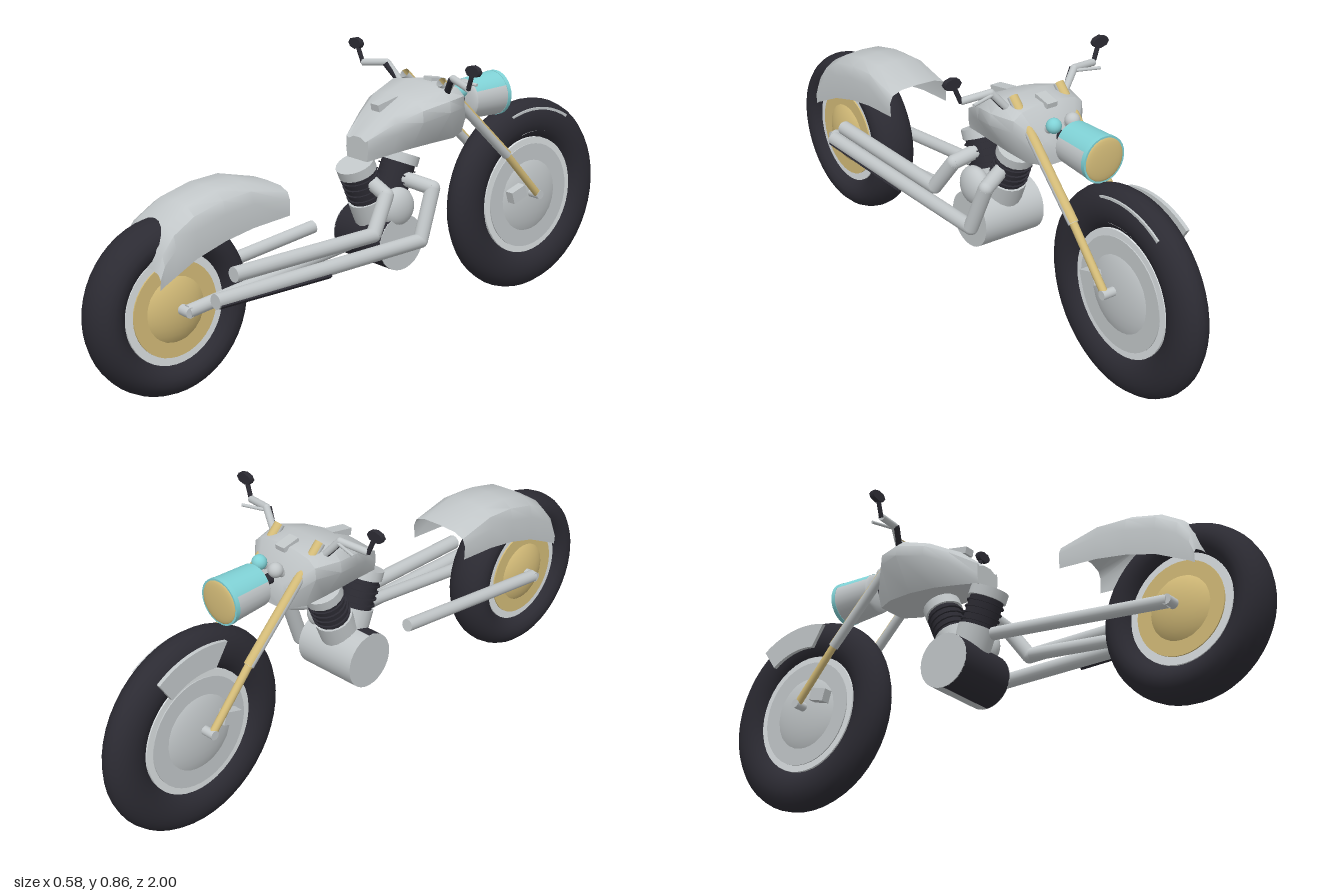
import * as THREE from 'three';
import { toCreasedNormals } from 'three/addons/utils/BufferGeometryUtils.js';

export function createModel() {
  const model = new THREE.Group();
  const material = (name, color) => {
    const m = new THREE.MeshStandardMaterial({ color, side: THREE.DoubleSide });
    m.name = name;
    return m;
  };
  const silver = material('silver', 0xc2c7c9);
  const rimSilver = material('rimSilver', 0xdbe0e2);
  const black = material('black', 0x2c2b33);
  const gold = material('gold', 0xd3bb78);
  const cyan = material('cyan', 0x80d2d6);
  const V = (x, y, z) => new THREE.Vector3(x, y, z);
  const UP = V(0, 1, 0);

  function add(name, geometry, mat, x = 0, y = 0, z = 0, parent = model) {
    const mesh = new THREE.Mesh(geometry, mat);
    mesh.name = name;
    mesh.position.set(x, y, z);
    parent.add(mesh);
    return mesh;
  }
  // Cylinder between two points, optionally only part of its circumference
  function rod(name, a, b, r, mat, r2 = r, start = 0, length = Math.PI * 2) {
    const dir = b.clone().sub(a);
    const open = length < 6;
    const g = new THREE.CylinderGeometry(r2, r, dir.length(), 18, 1, open, start, length);
    const m = add(name, g, mat, ...a.clone().add(b).multiplyScalar(0.5).toArray());
    m.quaternion.setFromUnitVectors(UP, dir.normalize());
    return m;
  }
  // Bent pipe made of straight runs with round elbows
  function pipe(name, pts, r, mat) {
    for (let i = 0; i < pts.length - 1; i++) {
      rod(name, pts[i], pts[i + 1], r, mat);
      if (i) add(name + 'Elbow', new THREE.SphereGeometry(r, 16, 10), mat, ...pts[i].toArray());
    }
  }
  // Skin over cross-section rings listed from rear to front
  function loft(rings, closed) {
    const n = rings[0].length, index = [];
    for (let i = 0; i < rings.length - 1; i++)
      for (let j = 0; j < (closed ? n : n - 1); j++) {
        const a = i * n + j, b = i * n + (j + 1) % n, c = a + n, d = b + n;
        index.push(a, c, b, b, c, d);
      }
    if (closed) {
      const l = (rings.length - 1) * n;
      for (let j = 1; j < n - 1; j++) index.push(0, j, j + 1, l, l + j + 1, l + j);
    }
    const g = new THREE.BufferGeometry();
    g.setAttribute('position', new THREE.Float32BufferAttribute(rings.flat(2), 3));
    g.setIndex(index);
    return toCreasedNormals(g, 0.75);
  }

  // Wheels
  function wheel(name, z, r, inner, width, hubR, hubMat) {
    const g = new THREE.Group();
    g.name = name;
    g.position.set(0, r, z);
    model.add(g);
    const t = (r - inner) / 2;
    const tyre = new THREE.TorusGeometry(inner + t, t, 18, 48);
    tyre.scale(1, 1, width / t).rotateY(Math.PI / 2);
    add('tyre', tyre, black, 0, 0, 0, g);
    const rim = new THREE.CylinderGeometry(inner + 0.008, inner + 0.008, width * 1.2, 40);
    add('rim', rim.rotateZ(Math.PI / 2), rimSilver, 0, 0, 0, g);
    const plate = new THREE.CylinderGeometry(hubR, hubR, width * 1.32, 40);
    add('hubPlate', plate.rotateZ(Math.PI / 2), hubMat, 0, 0, 0, g);
    const dome = new THREE.SphereGeometry(hubR * 0.9, 32, 16);
    add('hubDome', dome.scale(width * 1.02 / (hubR * 0.9), 1, 1), hubMat, 0, 0, 0, g);
  }
  wheel('rearWheel', 0.736, 0.265, 0.158, 0.07, 0.142, gold);
  wheel('frontWheel', -0.682, 0.316, 0.185, 0.052, 0.172, silver);

  // Fuel tank: z, half width, bottom half width, bottom, widest height, top
  const tank = [
    [0.025, 0.05, 0.045, 0.56, 0.6, 0.63],
    [-0.06, 0.09, 0.06, 0.572, 0.65, 0.7],
    [-0.13, 0.125, 0.072, 0.58, 0.68, 0.735],
    [-0.22, 0.148, 0.08, 0.585, 0.7, 0.762],
    [-0.3, 0.125, 0.078, 0.585, 0.7, 0.755],
    [-0.36, 0.065, 0.05, 0.588, 0.64, 0.68],
  ].map(([z, w, wb, yb, yw, yt]) => [
    [-wb, yb, z], [wb, yb, z], [w, yw - 0.01, z], [w * 0.97, yw + 0.025, z], [w * 0.75, yt - 0.01, z], [w * 0.3, yt, z],
    [-w * 0.3, yt, z], [-w * 0.75, yt - 0.01, z], [-w * 0.97, yw + 0.025, z], [-w, yw - 0.01, z],
  ]);
  add('fuelTank', loft(tank, true), silver);
  add('tankCap', new THREE.BoxGeometry(0.036, 0.022, 0.08), silver, 0, 0.715, -0.085).rotation.x = 0.2;
  add('tankLatch', new THREE.BoxGeometry(0.036, 0.016, 0.06), silver, 0, 0.757, -0.29).rotation.x = -0.2;

  // Rear fender: z, top, lower edge
  const fender = [
    [0.825, 0.41, 0.355], [0.81, 0.47, 0.365], [0.77, 0.525, 0.385], [0.7, 0.567, 0.42],
    [0.6, 0.592, 0.45], [0.5, 0.597, 0.468], [0.37, 0.562, 0.478],
  ].map(([z, t, b]) => [[1, 0], [1.02, 0.55], [0.92, 0.82], [0.6, 0.97], [0, 1], [-0.6, 0.97], [-0.92, 0.82], [-1.02, 0.55], [-1, 0]]
    .map(([x, k]) => [x * 0.104, b + (t - b) * k, z]));
  add('rearFender', loft(fender, false), silver);

  // Front fender cheeks hugging the tyre
  for (const s of [-1, 1]) {
    const arc = new THREE.Shape();
    arc.absarc(0, 0, 0.292, 1.25, 2.15, false);
    arc.absarc(0, 0, 0.215, 2.15, 1.35, true);
    const cheek = new THREE.ExtrudeGeometry(arc, { depth: 0.012, bevelEnabled: false, curveSegments: 10 });
    // shape x runs toward the front after turning
    cheek.rotateY(Math.PI / 2);
    add('frontFenderCheek', cheek, silver, s * 0.05 - 0.006, 0.316, -0.685).scale.z = -1;
    cheek.scale(1, 1, -1).rotateY(Math.PI);
  }

  // Parts that repeat on both sides
  for (const s of [-1, 1]) {
    // Fork
    const top = V(s * 0.082, 0.77, -0.24), mid = V(s * 0.082, 0.49, -0.53), low = V(s * 0.082, 0.33, -0.677);
    const a = Math.PI * 0.62, len = Math.PI * 0.76;
    rod('forkTubeFront', mid, top, 0.016, gold, 0.016, a, len);
    rod('forkTubeBack', mid, top, 0.016, silver, 0.016, a + len, Math.PI * 2 - len);
    rod('forkSlider', low, mid, 0.012, gold);
    rod('axleEnd', V(s * 0.04, 0.33, -0.677), V(s * 0.094, 0.33, -0.677), 0.014, silver);
    add('brakeCaliper', new THREE.BoxGeometry(0.03, 0.04, 0.06), silver, s * 0.066, 0.345, -0.595).rotation.x = 0.3;
    add('gauge', new THREE.SphereGeometry(0.023, 18, 12), s > 0 ? cyan : silver, s * 0.033, 0.715, -0.37);
    rod('gaugeStem', V(s * 0.033, 0.69, -0.34), V(s * 0.033, 0.715, -0.37), 0.012, silver);

    // Handlebar, lever and mirror
    rod('handlebarRiser', V(s * 0.09, 0.72, -0.25), V(s * 0.148, 0.793, -0.22), 0.01, black);
    pipe('handlebar', [V(s * 0.07, 0.7, -0.255), V(s * 0.148, 0.795, -0.227), V(s * 0.236, 0.783, -0.205)], 0.011, silver);
    rod('lever', V(s * 0.15, 0.79, -0.235), V(s * 0.225, 0.785, -0.252), 0.005, silver);
    rod('mirrorStalk', V(s * 0.236, 0.78, -0.205), V(s * 0.26, 0.84, -0.2), 0.007, black);
    const mirror = add('mirror', new THREE.CylinderGeometry(0.029, 0.029, 0.016, 8), black, s * 0.263, 0.841, -0.2);
    mirror.rotation.x = Math.PI / 2;
    mirror.scale.z = 0.62;

    // Swingarm
    rod('swingarm', V(s * 0.095, 0.27, 0.73), V(s * 0.095, 0.345, 0.12), 0.02, silver);
    rod('rearAxleEnd', V(s * 0.04, 0.27, 0.73), V(s * 0.11, 0.27, 0.73), 0.016, silver);
  }
  rod('forkClamp', V(-0.09, 0.68, -0.33), V(0.09, 0.68, -0.33), 0.014, silver);

  // Headlight
  const lampParts = [['headlightTop', cyan, -1.05, 2.1], ['headlightBody', silver, 1.05, Math.PI * 2 - 2.1]];
  for (const [name, mat, start, len] of lampParts) {
    const shell = new THREE.CylinderGeometry(0.07, 0.064, 0.13, 16, 1, true, start, len);
    add(name, shell.rotateX(-Math.PI / 2), mat, 0, 0.675, -0.485);
  }
  add('headlightBack', new THREE.SphereGeometry(0.064, 24, 12).scale(1, 1, 0.25), silver, 0, 0.675, -0.422);
  const ring = new THREE.CylinderGeometry(0.071, 0.071, 0.014, 28);
  add('headlightRing', ring.rotateX(Math.PI / 2), cyan, 0, 0.675, -0.55);
  add('headlightLens', new THREE.SphereGeometry(0.066, 24, 12).scale(1, 1, 0.15), gold, 0, 0.675, -0.556);
  rod('headlightBracket', V(0, 0.67, -0.33), V(0, 0.675, -0.42), 0.016, black);

  // Crankcase, black on its rear half
  for (const [name, mat, start] of [['crankcaseFront', silver, Math.PI / 2], ['crankcaseRear', black, -Math.PI / 2]]) {
    const half = new THREE.CylinderGeometry(0.087, 0.087, 0.21, 20, 1, true, start, Math.PI);
    add(name, half.rotateZ(Math.PI / 2), mat, 0, 0.305, -0.06);
  }
  for (const s of [-1, 1]) {
    const cover = new THREE.CylinderGeometry(0.087, 0.087, 0.004, 28);
    add('crankcaseCover', cover.rotateZ(Math.PI / 2), silver, s * 0.105, 0.305, -0.06);
  }
  add('airCleaner', new THREE.SphereGeometry(0.062, 24, 16).scale(0.6, 1, 1), silver, 0.085, 0.412, -0.06);

  // V-twin cylinders with fins
  for (const [base, tip] of [[V(0, 0.36, -0.045), V(0, 0.55, 0.035)], [V(0, 0.36, -0.075), V(0, 0.55, -0.155)]]) {
    const at = (t) => base.clone().lerp(tip, t);
    rod('cylinderBase', at(0), at(0.4), 0.06, silver);
    rod('cylinder', at(0.4), at(0.85), 0.053, black);
    for (let i = 0; i < 4; i++) rod('coolingFin', at(0.46 + i * 0.1), at(0.48 + i * 0.1), 0.059, black);
    rod('cylinderHead', at(0.85), at(1), 0.06, silver);
  }

  // Exhausts
  pipe('upperExhaust', [V(0.137, 0.36, 0.6), V(0.137, 0.366, 0.08), V(0.115, 0.47, 0.01), V(0.04, 0.49, 0.0)], 0.023, silver);
  pipe('lowerExhaust', [V(0.137, 0.295, 0.665), V(0.137, 0.308, -0.11), V(0.125, 0.46, -0.17), V(0.04, 0.48, -0.13)], 0.023, silver);
  const slot = add('mufflerSlot', new THREE.BoxGeometry(0.008, 0.014, 0.4), black, 0.154, 0.283, 0.46);
  slot.rotation.z = -Math.PI / 4;
  return model;
}
